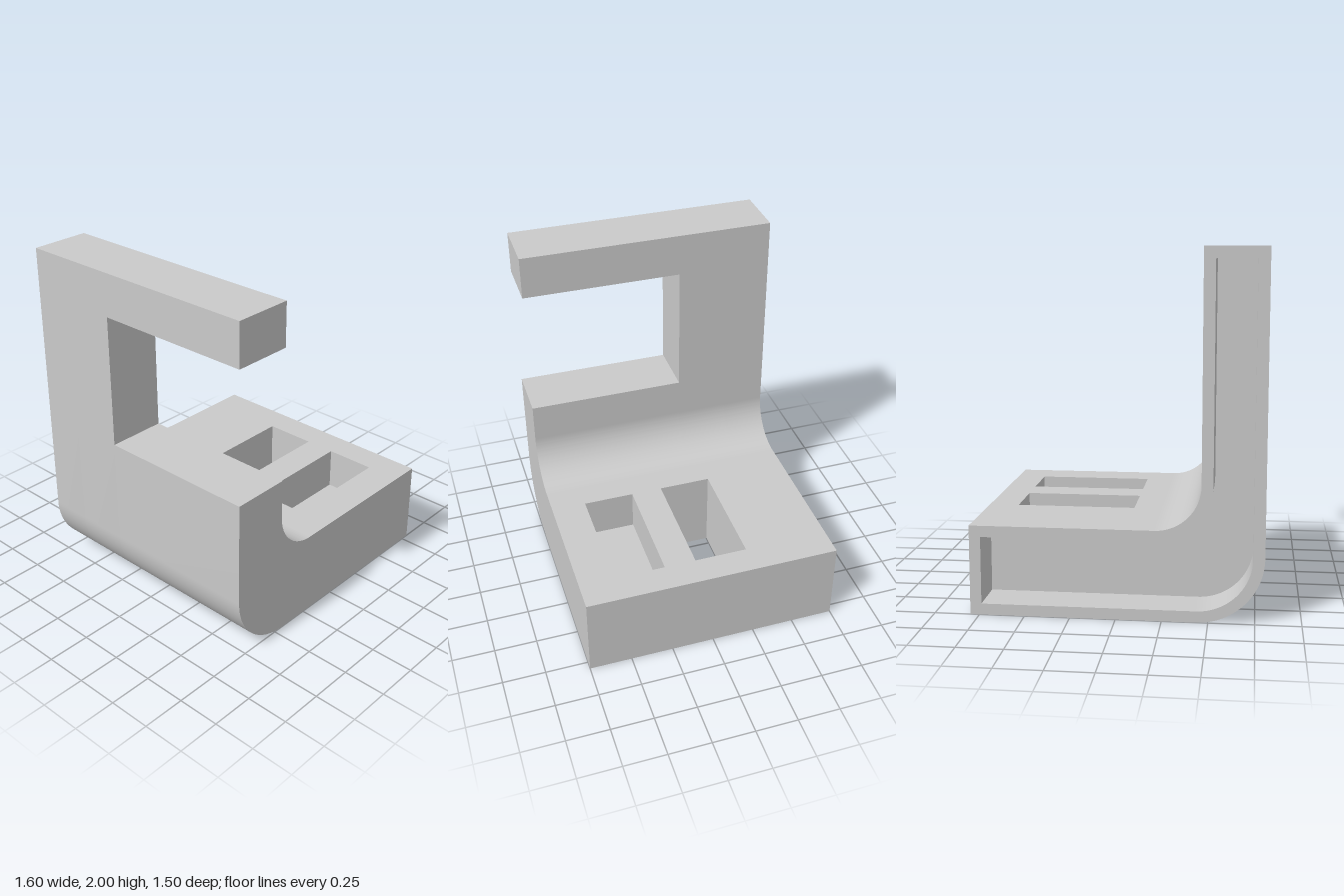
import * as THREE from 'three';
import { toCreasedNormals } from 'three/addons/utils/BufferGeometryUtils.js';

const LEFT = -0.8, RIGHT = 0.8, INNER = -0.46; // upright spans LEFT..INNER
const BACK = -0.75, FRONT = 0.75, TOP = 2, BASE = 0.5;
const WALL = 0.0625, RECESS = -0.5;            // rear hollow: rim width and floor
const SEAM = -0.15, NOTCH_Z = -0.19;

// L-shaped side profile with both bends rounded, shrunk inwards by t
function profile(top, right, t = 0) {
  const s = new THREE.Shape();
  s.moveTo(INNER - t, top - t);
  s.lineTo(LEFT + t, top - t);
  s.absarc(LEFT + 0.365, 0.365, 0.365 - t, Math.PI, Math.PI * 1.5, false);
  s.lineTo(right - t, t);
  s.lineTo(right - t, BASE - t);
  s.absarc(INNER + 0.25, BASE + 0.25, 0.25 + t, Math.PI * 1.5, Math.PI, true);
  s.closePath();
  return s;
}

function rect(x0, y0, x1, y1) {
  return new THREE.Shape([[x0, y0], [x1, y0], [x1, y1], [x0, y1]].map(p => new THREE.Vector2(...p)));
}

export function createModel() {
  const group = new THREE.Group();
  const grey = new THREE.MeshStandardMaterial({ color: 0xcacaca });
  grey.name = 'grey';

  function add(name, geometry) {
    const mesh = new THREE.Mesh(toCreasedNormals(geometry, 0.5), grey);
    mesh.name = name;
    group.add(mesh);
  }
  const extrude = (shape, depth) =>
    new THREE.ExtrudeGeometry(shape, { depth, bevelEnabled: false, curveSegments: 24 });
  const alongZ = (name, shape, z0, z1) => add(name, extrude(shape, z1 - z0).translate(0, 0, z0));
  const alongY = (name, shape, y0, y1) =>
    add(name, extrude(shape, y1 - y0).rotateX(Math.PI / 2).translate(0, y1, 0));

  // Rear rim around the hollow back
  const rim = profile(TOP, RIGHT);
  rim.holes.push(profile(TOP, RIGHT, WALL));
  alongZ('rearRim', rim, BACK, RECESS);

  // Upright with the open notch: full-height post, low front wall, top arm
  alongZ('uprightPost', profile(TOP, SEAM), RECESS, NOTCH_Z);
  alongZ('lowerWall', profile(0.98, SEAM), NOTCH_Z, FRONT);
  alongZ('topArm', rect(LEFT, 1.75, INNER, TOP), NOTCH_Z, FRONT);

  // Base in two layers: the rear slot goes through, the front pocket is blind
  const through = rect(-0.05, -0.25, 0.63, 0.06);
  const pocket = rect(-0.05, 0.245, 0.63, 0.545);
  const lower = rect(SEAM, RECESS, RIGHT, FRONT);
  lower.holes.push(through);
  alongY('baseLower', lower, 0, 0.25);
  const upper = rect(SEAM, RECESS, RIGHT, FRONT);
  upper.holes.push(through, pocket);
  alongY('baseUpper', upper, 0.25, BASE);

  return group;
}
